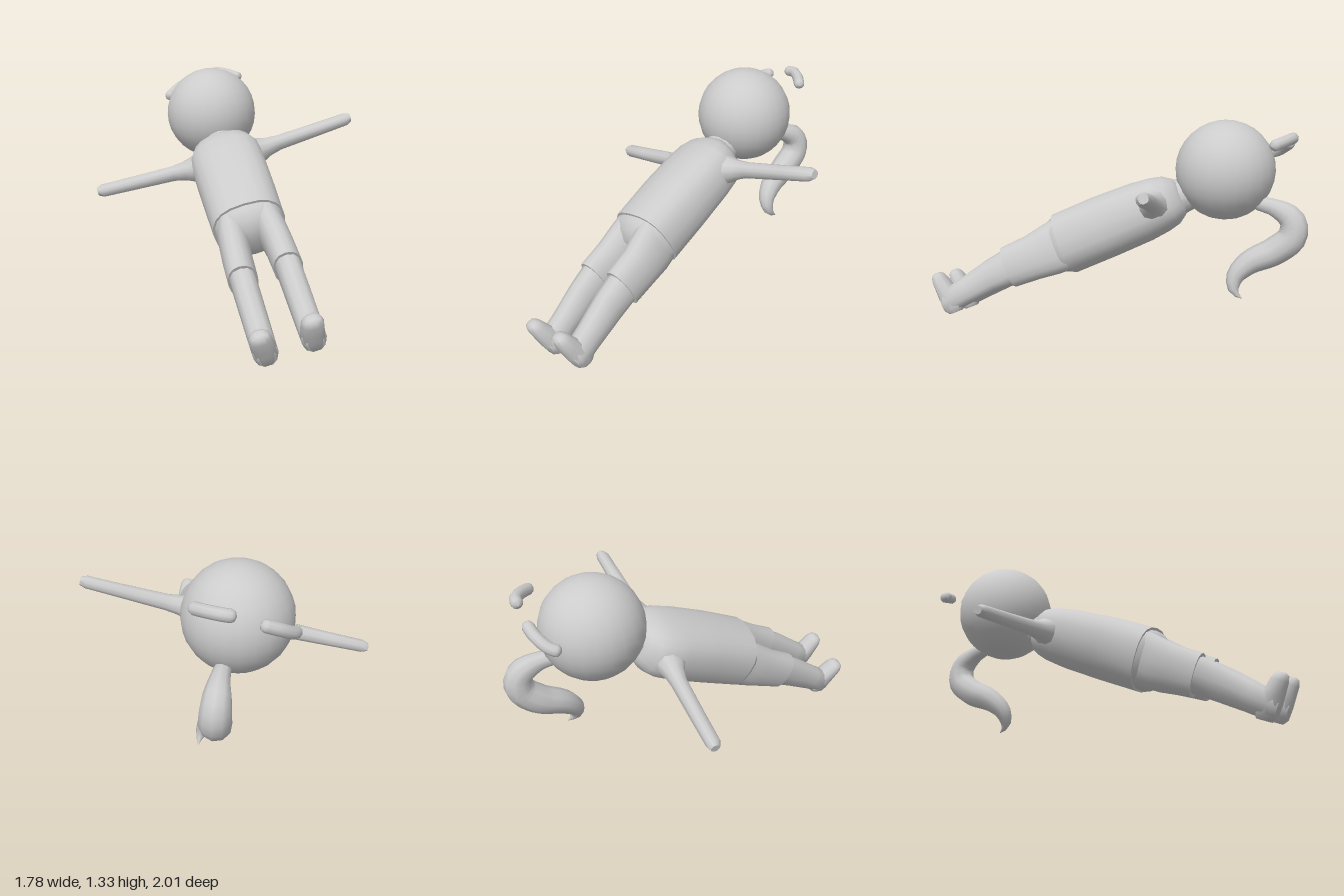
import * as THREE from 'three';
import { toCreasedNormals } from 'three/addons/utils/BufferGeometryUtils.js';

const material = new THREE.MeshStandardMaterial({ color: 0xcccccc });

function add(parent, name, geometry) {
  const mesh = new THREE.Mesh(geometry, material);
  mesh.name = name;
  parent.add(mesh);
  return mesh;
}

// Closed loft along y; each section is [y, centreX, centreZ, halfX, halfZ]
function loft(sections, sides = 16, power = 0.85) {
  const pos = [], index = [];
  const bend = v => Math.sign(v) * Math.abs(v) ** power;
  for (const [y, cx, cz, a, b] of sections) {
    for (let i = 0; i < sides; i++) {
      const t = (i / sides) * Math.PI * 2;
      pos.push(cx + a * bend(Math.cos(t)), y, cz + b * bend(Math.sin(t)));
    }
  }
  const last = sections.length - 1;
  for (let r = 0; r < last; r++) {
    for (let i = 0; i < sides; i++) {
      const a = r * sides + i, b = r * sides + (i + 1) % sides;
      index.push(a, a + sides, b, b, a + sides, b + sides);
    }
  }
  const bottom = pos.length / 3, top = bottom + 1;
  for (const s of [sections[0], sections[last]]) pos.push(s[1], s[0], s[2]);
  for (let i = 0; i < sides; i++) {
    const j = (i + 1) % sides;
    index.push(bottom, i, j, top, last * sides + j, last * sides + i);
  }
  const geo = new THREE.BufferGeometry();
  geo.setAttribute('position', new THREE.Float32BufferAttribute(pos, 3));
  geo.setIndex(index);
  return toCreasedNormals(geo, 0.9);
}

// Tube whose radius follows a function of t
function taperedTube(points, radiusAt, segments, sides) {
  const curve = new THREE.CatmullRomCurve3(points.map(p => new THREE.Vector3(...p)));
  const geo = new THREE.TubeGeometry(curve, segments, 1, sides);
  const pos = geo.attributes.position, v = new THREE.Vector3();
  for (let i = 0; i < pos.count; i++) {
    const t = Math.floor(i / (sides + 1)) / segments;
    const centre = curve.getPointAt(t);
    v.fromBufferAttribute(pos, i).sub(centre).multiplyScalar(Math.max(radiusAt(t), 0.001)).add(centre);
    pos.setXYZ(i, v.x, v.y, v.z);
  }
  return toCreasedNormals(geo, 0.9);
}

export function createModel() {
  const model = new THREE.Group();
  model.name = 'tiltedFigure';

  // Upright figure, tilted as a whole by a basis of left, up and front
  const body = new THREE.Group();
  body.name = 'body';
  const left = new THREE.Vector3(0.68, 0.257, 0.686).normalize();
  const front = new THREE.Vector3().crossVectors(left, new THREE.Vector3(0.57, 0.4, -0.72)).normalize();
  const up = new THREE.Vector3().crossVectors(front, left);
  body.quaternion.setFromRotationMatrix(new THREE.Matrix4().makeBasis(left, up, front));
  body.position.set(-0.169, 0.558, 0.177);
  model.add(body);

  // Shirt with sloped shoulders, and neck
  add(body, 'shirt', loft([
    [-0.09, 0, -0.005, 0.225, 0.205], [0.2, 0, 0, 0.236, 0.205], [0.45, 0, 0, 0.242, 0.195],
    [0.57, 0, 0, 0.24, 0.18], [0.65, 0, 0, 0.205, 0.16], [0.7, 0, 0, 0.145, 0.125], [0.725, 0, 0, 0.1, 0.1],
  ], 20, 0.8));
  add(body, 'neck', new THREE.CylinderGeometry(0.1, 0.12, 0.16, 14)).position.set(0, 0.74, 0);

  // Hips joining the two legs of the shorts
  add(body, 'hips', loft([
    [-0.21, 0, -0.02, 0.08, 0.1], [-0.17, 0, -0.015, 0.16, 0.155],
    [-0.12, 0, -0.01, 0.21, 0.187], [-0.06, 0, -0.005, 0.217, 0.195],
  ], 20, 0.8));

  for (const side of [1, -1]) {
    const tag = side > 0 ? 'left' : 'right';

    // Shorts leg, shin and foot
    add(body, tag + 'ShortsLeg', loft([
      [-0.47, side * 0.135, -0.02, 0.088, 0.135], [-0.3, side * 0.13, -0.02, 0.09, 0.145],
      [-0.17, side * 0.118, -0.015, 0.095, 0.165], [-0.06, side * 0.105, -0.005, 0.09, 0.175],
    ], 16, 0.9));
    add(body, tag + 'Shin', loft([
      [-0.97, side * 0.135, -0.085, 0.05, 0.06], [-0.94, side * 0.135, -0.08, 0.07, 0.082],
      [-0.8, side * 0.135, -0.06, 0.073, 0.088], [-0.6, side * 0.135, -0.03, 0.076, 0.105],
      [-0.44, side * 0.135, -0.015, 0.078, 0.115],
    ], 12));
    const foot = loft([
      [-0.165, side * 0.135, 0.91, 0.04, 0.045], [-0.135, side * 0.135, 0.91, 0.064, 0.068],
      [-0.06, side * 0.135, 0.91, 0.07, 0.075], [0.0, side * 0.138, 0.925, 0.066, 0.06],
      [0.07, side * 0.142, 0.935, 0.062, 0.05], [0.105, side * 0.142, 0.94, 0.048, 0.038],
      [0.118, side * 0.142, 0.94, 0.025, 0.02],
    ], 10);
    foot.rotateX(Math.PI / 2);
    add(body, tag + 'Foot', foot);

    // Outstretched arm, wide where it leaves the shoulder
    const drop = u => -side * u;
    const arm = loft([
      [0.15, drop(0.55), 0, 0.11, 0.12], [0.23, drop(0.55), 0, 0.085, 0.08],
      [0.29, drop(0.56), 0, 0.062, 0.06], [0.37, drop(0.57), 0, 0.047, 0.05],
      [0.65, drop(0.585), 0.005, 0.045, 0.042], [0.85, drop(0.595), 0.01, 0.043, 0.038],
      [0.885, drop(0.6), 0.01, 0.028, 0.025],
    ], 10);
    arm.rotateZ(-side * Math.PI / 2);
    add(body, tag + 'Arm', arm);
  }

  // Round head
  add(model, 'head', new THREE.SphereGeometry(0.311, 24, 16)).position.set(0.403, 1.016, -0.555);

  // Curling ponytail, thick in the middle with a pointed tip
  const radii = [0.045, 0.055, 0.075, 0.086, 0.09, 0.09, 0.085, 0.076, 0.062, 0.04, 0.002];
  const ponytailRadius = t => {
    const k = Math.min(Math.floor(t * 10), 9);
    return THREE.MathUtils.lerp(radii[k], radii[k + 1], t * 10 - k);
  };
  add(model, 'ponytail', taperedTube([
    [0.61, 0.83, -0.65], [0.7, 0.81, -0.71], [0.785, 0.745, -0.77], [0.795, 0.64, -0.77],
    [0.72, 0.54, -0.7], [0.625, 0.46, -0.58], [0.59, 0.37, -0.5], [0.615, 0.29, -0.475], [0.66, 0.25, -0.5],
  ], ponytailRadius, 24, 10));

  // Two small curved rods floating beside the head, with round ends
  const rodRadius = t => 0.035 * Math.sqrt(1 - Math.max(0, Math.abs(2 * t - 1) - 0.76) ** 2 / 0.0576);
  add(model, 'rearRod', taperedTube(
    [[0.385, 1.075, -0.95], [0.45, 1.1, -0.968], [0.53, 1.145, -0.955], [0.615, 1.185, -0.9]], rodRadius, 32, 10));
  add(model, 'sideRod', taperedTube(
    [[0.695, 1.23, -0.82], [0.74, 1.24, -0.775], [0.762, 1.235, -0.7], [0.768, 1.213, -0.57]], rodRadius, 32, 10));

  return model;
}
